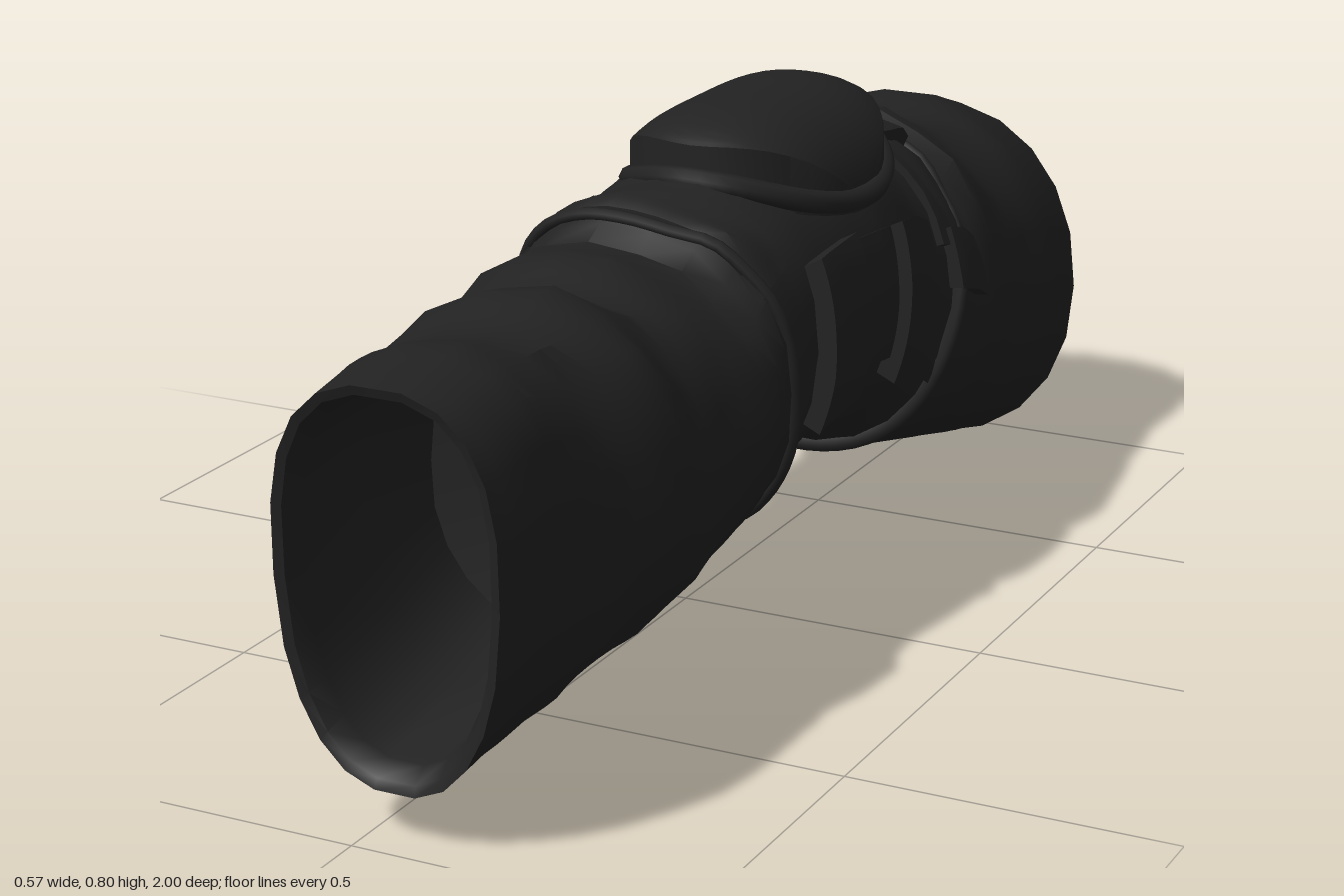
import * as THREE from 'three';
import { toCreasedNormals } from 'three/addons/utils/BufferGeometryUtils.js';

// Sleeve stations: z, left edge (-x), right edge (+x), bottom, top, taper (top wider than bottom)
const STATIONS = [
  [1, -0.115, 0.23, 0.08, 0.66, 0.1], [0.85, -0.135, 0.235, 0.09, 0.68, 0.1],
  [0.7, -0.17, 0.245, 0.10, 0.655, 0.08], [0.55, -0.195, 0.27, 0.11, 0.665, 0.05],
  [0.45, -0.215, 0.272, 0.12, 0.63, 0.03], [0.35, -0.235, 0.258, 0.13, 0.66, 0],
  [0.24, -0.24, 0.255, 0.145, 0.64, 0], [0.19, -0.225, 0.255, 0.15, 0.69, 0],
  [0.1, -0.19, 0.25, 0.17, 0.71, 0], [0.05, -0.195, 0.25, 0.21, 0.72, 0],
  [-0.1, -0.2, 0.25, 0.24, 0.72, 0], [-0.2, -0.2, 0.25, 0.21, 0.72, 0],
  [-0.3, -0.2, 0.25, 0.2, 0.71, 0], [-0.4, -0.205, 0.25, 0.135, 0.68, 0],
  [-0.5, -0.215, 0.26, 0.105, 0.655, 0], [-0.54, -0.22, 0.265, 0.095, 0.62, 0],
  [-0.6, -0.24, 0.27, 0.08, 0.66, -0.02], [-0.7, -0.25, 0.265, 0.06, 0.635, -0.04],
  [-0.85, -0.265, 0.268, 0.03, 0.64, -0.05], [-1, -0.285, 0.275, 0, 0.59, -0.05],
];

function station(z) {
  let i = 0;
  while (i < STATIONS.length - 2 && z < STATIONS[i + 1][0]) i++;
  const a = STATIONS[i], b = STATIONS[i + 1];
  const k = THREE.MathUtils.clamp((a[0] - z) / (a[0] - b[0]), 0, 1);
  return a.map((v, n) => v + (b[n] - v) * k);
}

// Oblique cloth folds, calmer at the two ends, under the pad and underneath
function fold(z, t) {
  const calm = Math.min(1, (1 - Math.abs(z)) * 4) * (Math.abs(z + 0.15) < 0.3 ? 0.5 : 1)
    * (0.65 + 0.35 * Math.sin(t));
  const ridge = (p) => 0.64 - Math.abs(Math.sin(p));
  return calm * (0.02 * ridge(8 * z + 1.3 * Math.sin(t + 0.7) + 0.4)
    + 0.013 * ridge(13 * z + 2 * Math.sin(t * 2 + 1) + Math.cos(t))
    + 0.006 * Math.sin(3 * t + 6 * z));
}

// Point on the sleeve at angle t (0 = +x, PI/2 = top), pushed outwards by off
function surface(z, t, off = 0) {
  const [, l, r, bottom, top, taper] = station(z);
  const c = Math.cos(t), s = Math.sin(t), d = off + fold(z, t);
  // Slanted cut at both ends, squarer section towards the front
  const back = THREE.MathUtils.clamp((-z - 0.6) / 0.4, 0, 1);
  const front = THREE.MathUtils.clamp((z - 0.6) / 0.4, 0, 1);
  const pw = (v) => Math.sign(v) * Math.pow(Math.abs(v), 0.92 - 0.1 * front);
  const x = (l + r) / 2 + (r - l) / 2 * pw(c) * (1 + taper * s) + d * c;
  const y = (bottom + top) / 2 + (top - bottom) / 2 * pw(s) + d * s;
  return [x, Math.max(0, y), z + (1 - s) * (0.04 * back - 0.01 * front)];
}

// Surface from a grid of rows; closed joins the last column to the first
function grid(rows, closed, crease) {
  const n = rows[0].length, index = [];
  for (let i = 0; i < rows.length - 1; i++) {
    for (let j = 0; j < (closed ? n : n - 1); j++) {
      const k = (j + 1) % n;
      const a = i * n + j, b = i * n + k, c = a + n, d = (i + 1) * n + k;
      index.push(a, c, b, b, c, d);
    }
  }
  const g = new THREE.BufferGeometry();
  g.setAttribute('position', new THREE.Float32BufferAttribute(rows.flat(2), 3));
  g.setIndex(index);
  g.computeVertexNormals();
  return crease ? toCreasedNormals(g, crease) : g;
}

const SIDES = 22;
const ring = (z, off) => Array.from({ length: SIDES }, (_, j) => surface(z, j / SIDES * Math.PI * 2, off));

// Raised panel following the sleeve, with its edges turned down into it
function panelGeometry(z0, z1, t0, t1, off) {
  const rows = [], nz = 6, nt = 14;
  for (let i = -1; i <= nz + 1; i++) {
    const row = [];
    for (let j = -1; j <= nt + 1; j++) {
      const u = THREE.MathUtils.clamp(i / nz, 0, 1), v = THREE.MathUtils.clamp(j / nt, 0, 1);
      const edge = i < 0 || j < 0 || i > nz || j > nt;
      row.push(surface(z0 + (z1 - z0) * u, t0 + (t1 - t0) * v, edge ? -0.02 : off));
    }
    rows.push(row);
  }
  return grid(rows, false, 0.7);
}

// Rolled hem running round the sleeve, leaning with height
function hemGeometry(zMid, lean, radius) {
  const points = Array.from({ length: 24 }, (_, i) => {
    const t = i / 24 * Math.PI * 2;
    return new THREE.Vector3(...surface(zMid + lean * Math.sin(t), t, 0.002));
  });
  return new THREE.TubeGeometry(new THREE.CatmullRomCurve3(points, true), 60, radius, 6, true);
}

export function createModel() {
  const group = new THREE.Group();
  const cloth = new THREE.MeshStandardMaterial({ color: 0x222222, side: THREE.DoubleSide });
  cloth.name = 'charcoal cloth';
  const add = (name, geometry) => {
    const mesh = new THREE.Mesh(geometry, cloth);
    mesh.name = name;
    group.add(mesh);
  };

  // Wrinkled sleeve
  const rows = [];
  for (let i = 0; i <= 64; i++) rows.push(ring(1 - i / 32, 0));
  add('sleeve', grid(rows, true, 0.6));

  // Rolled hems and linings, closed deep inside each opening
  const lining = (sign, depth) => {
    const end = sign * (1 - depth);
    const list = [ring(sign, 0), ring(sign * 0.995, -0.015), ring(sign * 0.96, -0.03),
      ring(sign * (1 - depth * 0.6), -0.035), ring(end, -0.06)];
    const [, l, r, b, t] = station(end);
    const centre = [(l + r) / 2, (b + t) / 2, end - sign * 0.03];
    list.push(Array.from({ length: SIDES }, () => centre));
    return grid(sign > 0 ? list.reverse() : list, true, 0.9);
  };
  add('frontLining', lining(1, 0.45));
  add('backLining', lining(-1, 0.35));

  // Joint pad: rounded across, flat along, with a skirt down to the sleeve
  const dome = new THREE.SphereGeometry(1, 40, 20, 0, Math.PI * 2, 0, Math.PI / 2);
  const p = dome.attributes.position;
  for (let i = 0; i < p.count; i++) {
    const x = p.getX(i), z = p.getZ(i);
    const skirt = Math.hypot(x, z) > 0.9999;
    const h = Math.sqrt(Math.max(0, 1 - Math.abs(x) ** 2.3 - 0.4 * z ** 4));
    const y = skirt ? 0.63 + 0.05 * z * z : 0.63 + h * 0.168;
    p.setXYZ(i, 0.042 + x * 0.188, y, -0.165 + z * 0.235);
  }
  dome.computeVertexNormals();
  add('jointPad', toCreasedNormals(dome, 0.8));

  // Stitched rim around the pad
  const rimPath = new THREE.CatmullRomCurve3(Array.from({ length: 20 }, (_, i) => {
    const a = i / 20 * Math.PI * 2;
    return new THREE.Vector3(0.042 + 0.185 * Math.cos(a), 0.71 - 0.06 * Math.cos(a) ** 2,
      -0.165 + 0.24 * Math.sin(a));
  }), true);
  add('padRim', new THREE.TubeGeometry(rimPath, 60, 0.018, 8, true));

  // Side straps and panels, mirrored left and right
  const sidePanels = [
    ['frontStrap', 0.055, -0.08, -0.45, 0.5, 0.03],
    ['sidePanel', -0.08, -0.21, -0.3, 0.45, 0.014],
    ['rearStrap', -0.22, -0.35, -0.45, 0.45, 0.032],
    ['rearBuckle', -0.45, -0.53, 0.1, 0.45, 0.022],
  ];
  for (const [name, z0, z1, t0, t1, off] of sidePanels) {
    add(name + 'Left', panelGeometry(z0, z1, t0, t1, off));
    add(name + 'Right', panelGeometry(z0, z1, Math.PI - t1, Math.PI - t0, off));
  }

  // Bands and buckle over the top of the joint
  add('rearBand', panelGeometry(-0.43, -0.53, 0.35, Math.PI - 0.35, 0.012));
  add('topBuckle', panelGeometry(-0.4, -0.52, 1.15, 1.75, 0.032));
  add('frontBand', panelGeometry(0.2, 0.1, 0.6, Math.PI - 0.6, 0.004));

  // Slanted hems where the outer sleeve halves meet the joint
  add('rearHem', hemGeometry(-0.46, -0.1, 0.014));
  add('frontHem', hemGeometry(0.15, 0.06, 0.01));
  return group;
}
